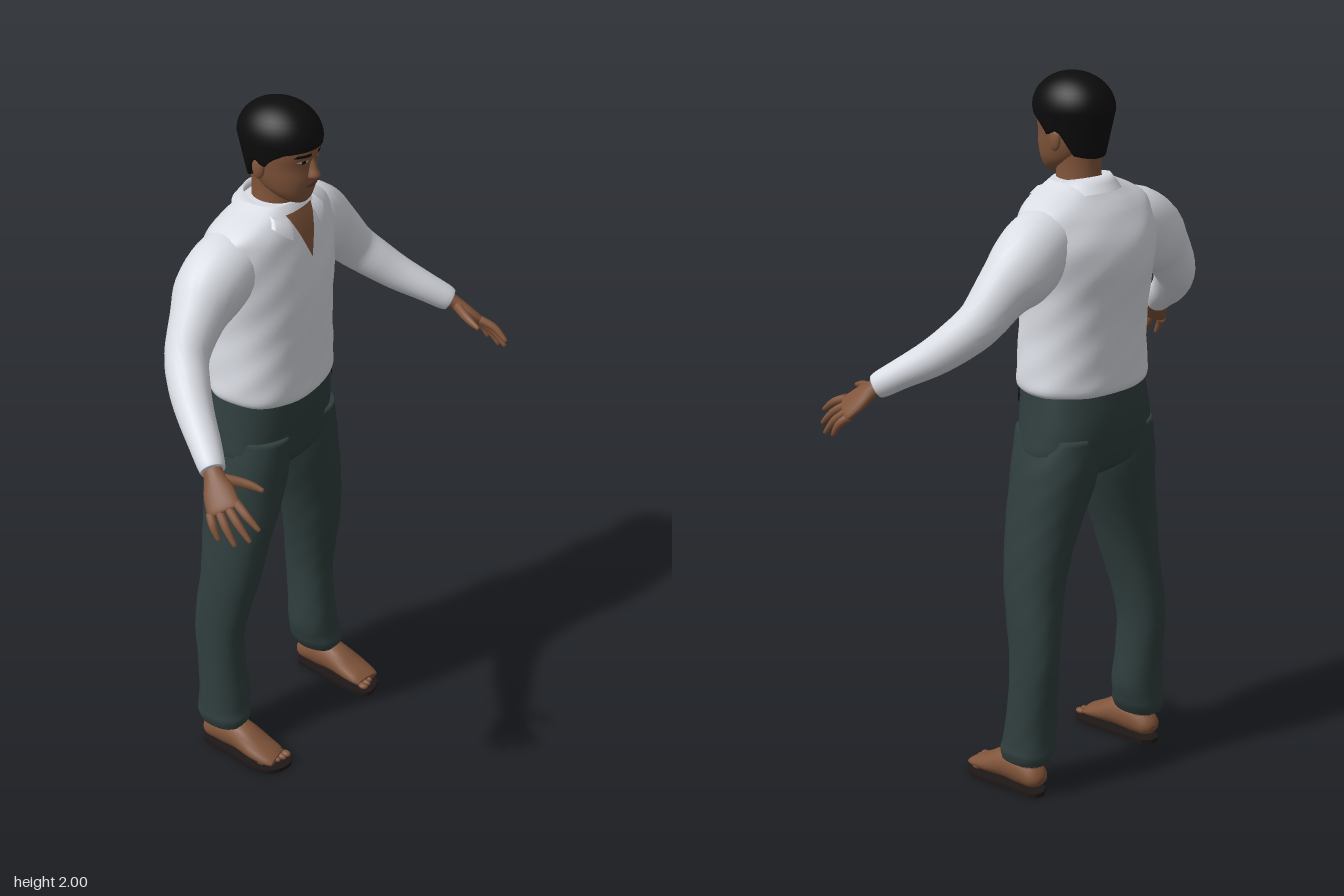
import * as THREE from 'three';

const mat = (name, color, side = THREE.FrontSide) => {
  const m = new THREE.MeshStandardMaterial({ color, side });
  m.name = name;
  return m;
};

// Grid surface: u runs around (optionally closed), v runs along, optional end caps
function grid(nu, nv, fn, closed = false, caps = false) {
  const pos = [], idx = [], cols = closed ? nu : nu + 1;
  for (let j = 0; j <= nv; j++)
    for (let i = 0; i < cols; i++) pos.push(...fn(i / nu, j / nv));
  for (let j = 0; j < nv; j++)
    for (let i = 0; i < nu; i++) {
      const a = j * cols + i, b = j * cols + (i + 1) % cols, c = a + cols, d = b + cols;
      idx.push(a, c, b, b, c, d);
    }
  if (caps) for (const j of [0, nv]) {
    const mid = [0, 0, 0], n = pos.length / 3;
    for (let i = 0; i < cols; i++) for (let k = 0; k < 3; k++) mid[k] += pos[(j * cols + i) * 3 + k] / cols;
    pos.push(...mid);
    for (let i = 0; i < cols; i++) {
      const a = j * cols + i, b = j * cols + (i + 1) % cols;
      if (j) idx.push(a, n, b); else idx.push(a, b, n);
    }
  }
  const g = new THREE.BufferGeometry();
  g.setAttribute('position', new THREE.Float32BufferAttribute(pos, 3));
  g.setIndex(idx);
  g.computeVertexNormals();
  return g;
}

// Catmull-Rom resampling of number rows, n steps per span
function smooth(rows, n = 4) {
  const out = [], at = i => rows[Math.min(Math.max(i, 0), rows.length - 1)];
  for (let i = 0; i < rows.length - 1; i++)
    for (let s = 0; s < n; s++) {
      const t = s / n, [a, b, c, d] = [at(i - 1), at(i), at(i + 1), at(i + 2)];
      out.push(b.map((_, k) => b[k] + 0.5 * t * (c[k] - a[k] + t * (2 * a[k] - 5 * b[k] + 4 * c[k] - d[k]
        + t * (3 * (b[k] - c[k]) + d[k] - a[k])))));
    }
  out.push(rows[rows.length - 1]);
  return out;
}

const spow = (v, e) => Math.sign(v) * Math.abs(v) ** e;

// Upright body from level sections: [y, half width, front z, back z, centre x]
function body(rows, n = 2.2, seg = 36, fold = 0) {
  const r = smooth(rows), nv = r.length - 1;
  return grid(seg, nv, (u, v) => {
    const [y, hx, zf, zb, cx = 0] = r[Math.round(v * nv)], a = u * Math.PI * 2;
    const k = 1 + fold * Math.sin(5 * a + y * 18) * Math.sin(y * 40 + 2 * a);
    return [cx + k * hx * spow(Math.cos(a), 2 / n), y, (zf + zb) / 2 + k * (zf - zb) / 2 * spow(Math.sin(a), 2 / n)];
  }, true, true);
}

// Front surface depth of a body at x, y
function frontOf(rows, n) {
  const r = smooth(rows);
  return (x, y) => {
    let i = 0;
    while (i < r.length - 2 && r[i + 1][0] < y) i++;
    const t = THREE.MathUtils.clamp((y - r[i][0]) / (r[i + 1][0] - r[i][0]), 0, 1);
    const [, hx, zf, zb] = r[i].map((q, k) => q + (r[i + 1][k] - q) * t);
    return (zf + zb) / 2 + (zf - zb) / 2 * Math.max(0, 1 - Math.abs(x / hx) ** n) ** (1 / n);
  };
}

// Limb along a path: [x, y, z, radius toward up, radius across]
function limb(rows, up = [0, 1, 0], seg = 18, n = 4) {
  const r = smooth(rows, n), nv = r.length - 1, p = r.map(q => new THREE.Vector3(q[0], q[1], q[2]));
  return grid(seg, nv, (s, w) => {
    const j = Math.round(w * nv), a = s * Math.PI * 2;
    const t = p[Math.min(j + 1, nv)].clone().sub(p[Math.max(j - 1, 0)]).normalize();
    const u = new THREE.Vector3(...up);
    u.addScaledVector(t, -u.dot(t)).normalize();
    const v = u.clone().cross(t);
    return p[j].clone().addScaledVector(u, r[j][3] * Math.cos(a)).addScaledVector(v, r[j][4] * Math.sin(a)).toArray();
  }, true, true);
}

// Thin skin-tight plate on a front surface, between two x edges
const plate = (front, y0, y1, left, right, off) => grid(10, 10, (u, v) => {
  const y = y0 + (y1 - y0) * v, x = right(v) + (left(v) - right(v)) * u;
  return [x, y, front(x, y) + off];
});

function mirrored(geo) {
  const g = geo.clone().scale(-1, 1, 1);
  const idx = g.index ? [...g.index.array] : [...Array(g.attributes.position.count).keys()];
  for (let i = 0; i < idx.length; i += 3) [idx[i], idx[i + 1]] = [idx[i + 1], idx[i]];
  g.setIndex(idx);
  return g;
}

export function createModel() {
  const root = new THREE.Group();
  root.name = 'standingMan';
  const skin = mat('skin', 0x80543a), shirt = mat('shirt', 0xd9dce3, THREE.DoubleSide);
  const trousers = mat('trousers', 0x2f3e3d), hair = mat('hair', 0x0c0c0c, THREE.DoubleSide);
  const soleMat = mat('sole', 0x1e1817), lip = mat('lips', 0x653c2e);
  const white = mat('eyeWhite', 0xb9b2a8);
  const add = (name, geo, m) => {
    const mesh = new THREE.Mesh(geo, m);
    mesh.name = name;
    root.add(mesh);
  };
  const pair = (name, geo, m) => {
    add(name + 'Left', geo, m);
    add(name + 'Right', mirrored(geo), m);
  };
  const ball = (x, y, z, sx, sy, sz) => new THREE.SphereGeometry(1, 14, 10).scale(sx, sy, sz).translate(x, y, z);

  // Shirt
  const torso = [[1.145, .172, .018, -.245], [1.165, .194, .028, -.262], [1.22, .192, .028, -.262], [1.32, .184, .03, -.265],
    [1.42, .188, .033, -.275], [1.5, .2, .03, -.285], [1.57, .213, .018, -.275], [1.63, .21, .004, -.245],
    [1.66, .195, -.006, -.225], [1.685, .155, -.016, -.205], [1.705, .11, -.026, -.19], [1.72, .08, -.036, -.175]];
  const chest = frontOf(torso, 2.3);
  add('shirtBody', body(torso, 2.3, 48, .012), shirt);
  pair('sleeve', limb([[.1, 1.6, -.125, .075, .085], [.18, 1.568, -.13, .1, .095], [.255, 1.515, -.135, .1, .09],
    [.315, 1.467, -.125, .078, .072], [.378, 1.398, -.108, .064, .06], [.425, 1.345, -.065, .057, .056],
    [.465, 1.3, -.015, .05, .05], [.51, 1.255, .05, .041, .043], [.54, 1.225, .092, .037, .037], [.55, 1.215, .106, .033, .033]],
    [0, 1, 0], 24), shirt);
  add('openNeckSkin', plate(chest, 1.57, 1.7, v => -.055 * v, v => .055 * v, .005), skin);
  add('shirtPlacket', plate(chest, 1.17, 1.57, () => -.013, () => .013, .004), shirt);

  // Folded collar, open at the front
  add('collar', grid(36, 4, (u, v) => {
    const a = Math.PI / 2 - .6 - u * (Math.PI * 2 - 1.2), f = Math.sin(a), out = v > .5 ? (v - .5) * 2 : 0;
    const top = 1.722 - .016 * f;
    const y = v <= .5 ? top - .045 * (1 - v * 2) : top - out * (.04 + .045 * Math.max(0, f) ** 2);
    const r = 1 + .38 * out;
    const x = .078 * r * Math.cos(a);
    let z = -.105 + .082 * r * f;
    if (f > 0 && out) z = Math.max(z, chest(x, y) + .008);
    return [x, y, z];
  }), shirt);

  // Trousers
  const hips = [[.91, .1, -.04, -.2], [.94, .16, -.01, -.24], [.98, .205, .005, -.255], [1.04, .2, .011, -.265],
    [1.1, .191, .016, -.262], [1.165, .182, .018, -.25]];
  add('trouserHips', body(hips, 2.4, 40), trousers);
  pair('trouserLeg', body([[.1, .056, -.052, -.198, .232], [.125, .066, -.048, -.206, .229], [.15, .068, -.055, -.205, .224],
    [.2, .07, -.06, -.204, .218], [.3, .063, -.07, -.21, .218], [.4, .059, -.07, -.22, .217], [.5, .064, -.052, -.217, .208],
    [.6, .073, -.03, -.21, .192], [.7, .083, -.018, -.215, .172], [.8, .095, -.005, -.225, .146],
    [.9, .106, .001, -.243, .12], [.96, .105, .003, -.25, .11], [1.04, .095, .004, -.25, .1]], 2.2, 28, .012), trousers);
  add('beltTab', plate(frontOf(hips, 2.4), 1.115, 1.14, () => .13, () => .172, .006), hair);

  // Bare feet on thin soles
  pair('foot', limb([[.232, .042, -.185, .015, .02], [.232, .05, -.168, .032, .036], [.232, .066, -.12, .05, .043],
    [.232, .064, -.06, .046, .045], [.233, .047, 0, .03, .05], [.231, .036, .045, .018, .047], [.228, .031, .065, .011, .04]]), skin);
  pair('ankle', body([[.04, .036, -.07, -.18, .232], [.1, .038, -.075, -.175, .232], [.17, .04, -.08, -.18, .23]], 2, 18), skin);
  for (let i = 0; i < 5; i++)
    pair('toe' + (i + 1), ball(.196 + i * .018, .03, .071 - i * i * .0022, i ? .009 : .012, .009, .016), skin);
  const outline = new THREE.Shape(new THREE.SplineCurve([[.2, .17], [.232, .19], [.264, .17], [.272, .08], [.285, -.01],
    [.272, -.065], [.235, -.09], [.195, -.09], [.18, -.05], [.186, .05], [.2, .17]].map(p => new THREE.Vector2(...p))).getPoints(40));
  pair('sole', new THREE.ExtrudeGeometry(outline, { depth: .013, bevelEnabled: false }).rotateX(-Math.PI / 2), soleMat);

  // Hands
  const index = new THREE.Vector3(.57, 1.17, .203), pinky = new THREE.Vector3(.621, 1.132, .142);
  const across = index.clone().sub(pinky).normalize().toArray();
  pair('palm', limb([[.538, 1.228, .088, .025, .022], [.557, 1.207, .115, .028, .02], [.577, 1.178, .145, .042, .018],
    [.597, 1.149, .175, .045, .014], [.6, 1.144, .18, .036, .009]], across), skin);
  [[.585, 1.118, .28], [.605, 1.088, .265], [.625, 1.073, .232], [.636, 1.08, .188]].forEach((tip, i) => {
    const k = index.clone().lerp(pinky, .08 + i * .28).toArray();
    const mid = k.map((c, j) => (c + tip[j]) / 2 + [.006, .006, 0][j]);
    pair('finger' + (i + 1), limb([[...k, .012, .012], [...mid, .011, .011], [...tip, .006, .006]], across, 10), skin);
  });
  pair('thumb', limb([[.555, 1.203, .125, .017, .014], [.528, 1.195, .172, .014, .012], [.514, 1.188, .206, .011, .01],
    [.507, 1.18, .235, .006, .006]], [0, 1, 0], 10), skin);

  // Head and neck
  add('neck', body([[1.62, .075, -.03, -.17], [1.69, .06, -.035, -.168], [1.75, .055, -.035, -.165], [1.82, .06, -.04, -.17]], 2, 24), skin);
  const skull = [[1.727, .022, -.002, -.05], [1.738, .042, .008, -.075], [1.765, .063, .017, -.125], [1.8, .074, .023, -.16],
    [1.84, .08, .021, -.175], [1.88, .084, .028, -.185], [1.92, .083, .018, -.185], [1.96, .06, -.02, -.15]];
  const face = frontOf(skull, 2.1);
  add('head', body(skull, 2.1, 36), skin);
  add('nose', body([[1.801, .011, .03, 0], [1.811, .018, .046, 0], [1.832, .012, .037, 0], [1.862, .008, .024, 0]], 2, 16), skin);
  pair('ear', ball(.083, 1.83, -.092, .01, .03, .019).rotateY(0), skin);
  pair('eye', plate(face, 1.854, 1.864, v => .035 - .015 * Math.sin(Math.PI * v), v => .035 + .015 * Math.sin(Math.PI * v), .002), white);
  pair('pupil', plate(face, 1.854, 1.864, () => .03, () => .04, .004), hair);
  pair('eyebrow', plate(face, 1.872, 1.88, () => .014, v => .06 - .01 * v, .003), hair);
  add('mouth', plate(face, 1.778, 1.792, v => -.028 * Math.sin(Math.PI * v), v => .028 * Math.sin(Math.PI * v), .004), lip);

  // Hair cap with a hairline that drops from forehead to nape
  const line = [[-1, 1.78], [-.6, 1.79], [-.25, 1.85], [-.05, 1.855], [.08, 1.835], [.3, 1.865], [.6, 1.885], [1, 1.892]];
  const hairline = f => {
    let i = 0;
    while (i < line.length - 2 && line[i + 1][0] < f) i++;
    const [a, b] = [line[i], line[i + 1]];
    return a[1] + (b[1] - a[1]) * (f - a[0]) / (b[0] - a[0]);
  };
  add('hair', grid(48, 18, (u, v) => {
    const a = u * Math.PI * 2, f = Math.sin(a), low = hairline(f), s = Math.max(0, (v * 18 - 1) / 17);
    const y = s < .35 ? low + (1.905 - low) * s / .35 : 1.905 + .095 * Math.sin((s - .35) / .65 * Math.PI / 2);
    let r = y < 1.905 ? 1 - 1.9 * (1.905 - y) * (f < 0 ? 1 : .7) : Math.cos((s - .35) / .65 * Math.PI / 2);
    if (v === 0) r *= .85;
    return [.099 * r * Math.cos(a), y, -.082 + .121 * r * f];
  }, true), hair);

  return root;
}
